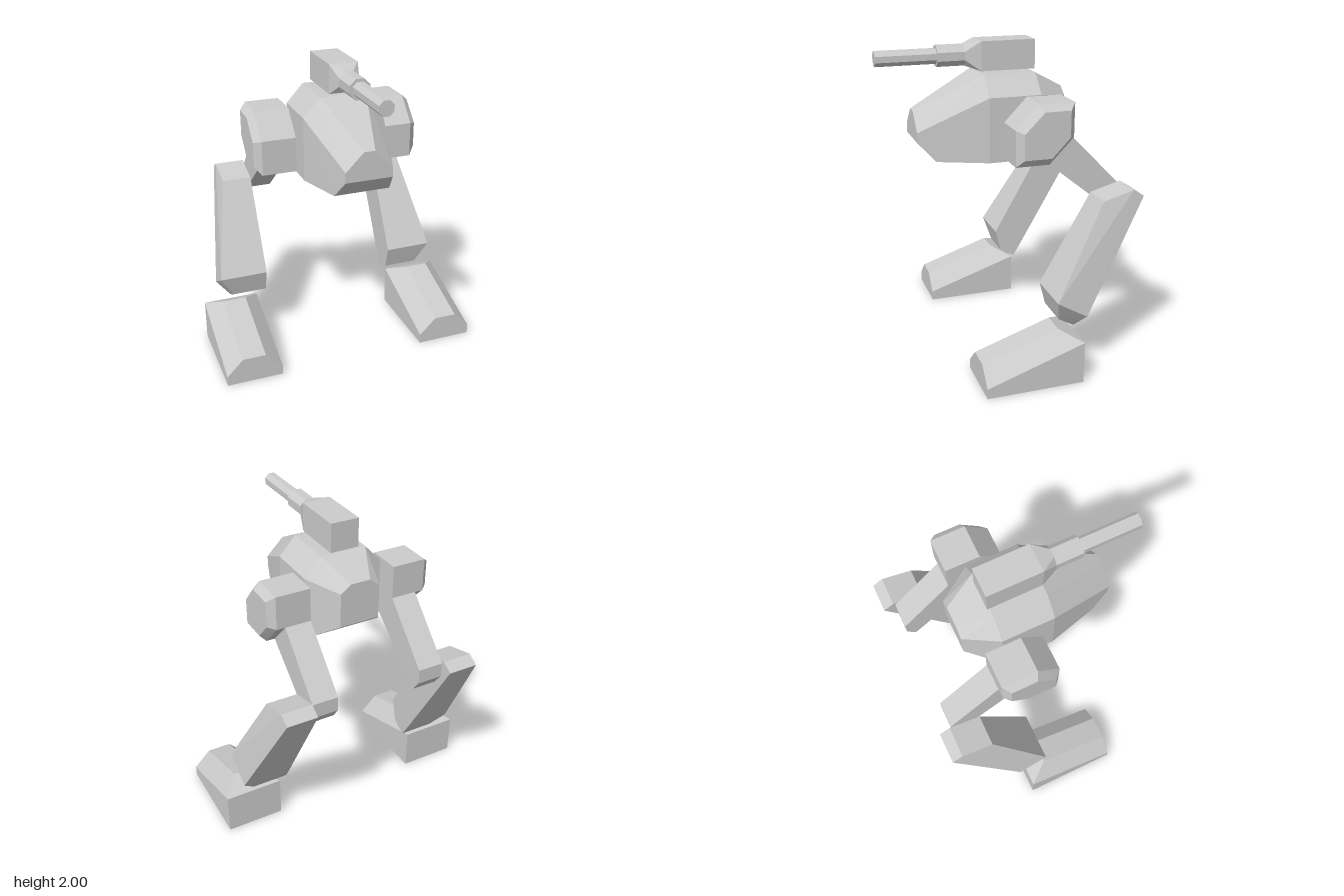
import * as THREE from 'three';
import { ConvexGeometry } from 'three/addons/geometries/ConvexGeometry.js';

const grey = new THREE.MeshStandardMaterial({ color: 0xcccccc });
grey.name = 'light grey';

// Faceted solid around a set of [x, y, z] corners
function solid(name, corners) {
  const mesh = new THREE.Mesh(new ConvexGeometry(corners.map((c) => new THREE.Vector3(...c))), grey);
  mesh.name = name;
  return mesh;
}

// A [y, z] outline placed at a given x
const outline = (x, yz) => yz.map(([y, z]) => [x, y, z]);

// Left-right symmetric ring of [x, y] corners at a given z
const ring = (z, xy) => xy.flatMap(([x, y]) => [[x, y, z], [-x, y, z]]);

// Octagon with flat sides, for the gun
function octagon(z, apothem, y) {
  const c = apothem * Math.tan(Math.PI / 8);
  return ring(z, [[apothem, y - c], [apothem, y + c], [c, y - apothem], [c, y + apothem]]);
}

function createLeg(s) {
  const leg = new THREE.Group();
  leg.name = s > 0 ? 'leftLeg' : 'rightLeg';
  const add = (name, corners) => leg.add(solid(name, corners.map(([x, y, z]) => [x * s, y, z])));

  // Hip pod with chamfered outer face
  const hip = [[1.305, 0.025], [1.53, 0.025], [1.68, -0.12], [1.68, -0.345], [1.465, -0.345], [1.305, -0.19]];
  const hipFace = [[1.355, -0.015], [1.515, -0.015], [1.64, -0.14], [1.64, -0.305], [1.475, -0.305], [1.355, -0.19]];
  add('hip', [...outline(0.283, hip), ...outline(0.505, hip), ...outline(0.55, hipFace)]);

  // Thigh slanting backward
  const thigh = [[1.305, -0.19], [1.465, -0.345], [1.125, -0.68], [1.03, -0.68], [0.955, -0.625]];
  add('thigh', [...outline(0.283, thigh), ...outline(0.45, thigh)]);

  // Shin, flat inside and flared outside
  const knee = [[1.085, -0.49], [1.14, -0.69], [1.095, -0.76]];
  const ankle = [[0.505, -0.16], [0.39, -0.355]];
  const shinEnd = [[0.355, -0.2], [0.3, -0.3]];
  add('shin', [
    ...outline(0.457, [...knee, ...ankle, ...shinEnd]),
    ...outline(0.653, knee), ...outline(0.775, ankle), ...outline(0.69, shinEnd),
  ]);

  // Wedge foot with a narrow ridge
  const sole = [[0, 0.32], [0.065, 0.32], [0.27, -0.3], [0, -0.3]];
  const ridge = [[0.175, 0.32], [0.335, -0.165]];
  add('foot', [
    ...outline(0.503, sole), ...outline(0.875, sole),
    ...outline(0.614, ridge), ...outline(0.767, ridge),
  ]);
  return leg;
}

export function createModel() {
  const model = new THREE.Group();
  model.name = 'walker';

  // Body
  const waist = [[0.15, 1.8], [0.26, 1.68], [0.26, 1.27]];
  model.add(solid('body', [
    ...ring(0.54, [[0.035, 1.585], [0.15, 1.47], [0.15, 1.405]]),
    ...ring(0.43, [[0.18, 1.285]]),
    ...ring(0.11, waist),
    ...ring(-0.225, waist),
    ...ring(-0.43, [[0.065, 1.69], [0.13, 1.64], [0.13, 1.42]]),
  ]));

  // Gun turret: housing, taper, sleeve and barrel
  const gunY = 1.91;
  const housing = [[0.093, 1.815], [0.093, 2]];
  const turret = new THREE.Group();
  turret.name = 'turret';
  turret.add(
    solid('gunHousing', [...ring(-0.24, housing), ...ring(0.11, housing), ...octagon(0.205, 0.064, gunY)]),
    solid('gunSleeve', [...octagon(0.205, 0.064, gunY), ...octagon(0.38, 0.064, gunY)]),
    solid('gunBarrel', [...octagon(0.38, 0.046, gunY), ...octagon(0.76, 0.046, gunY)]),
  );
  model.add(turret);

  // Legs
  for (const s of [1, -1]) model.add(createLeg(s));
  return model;
}
